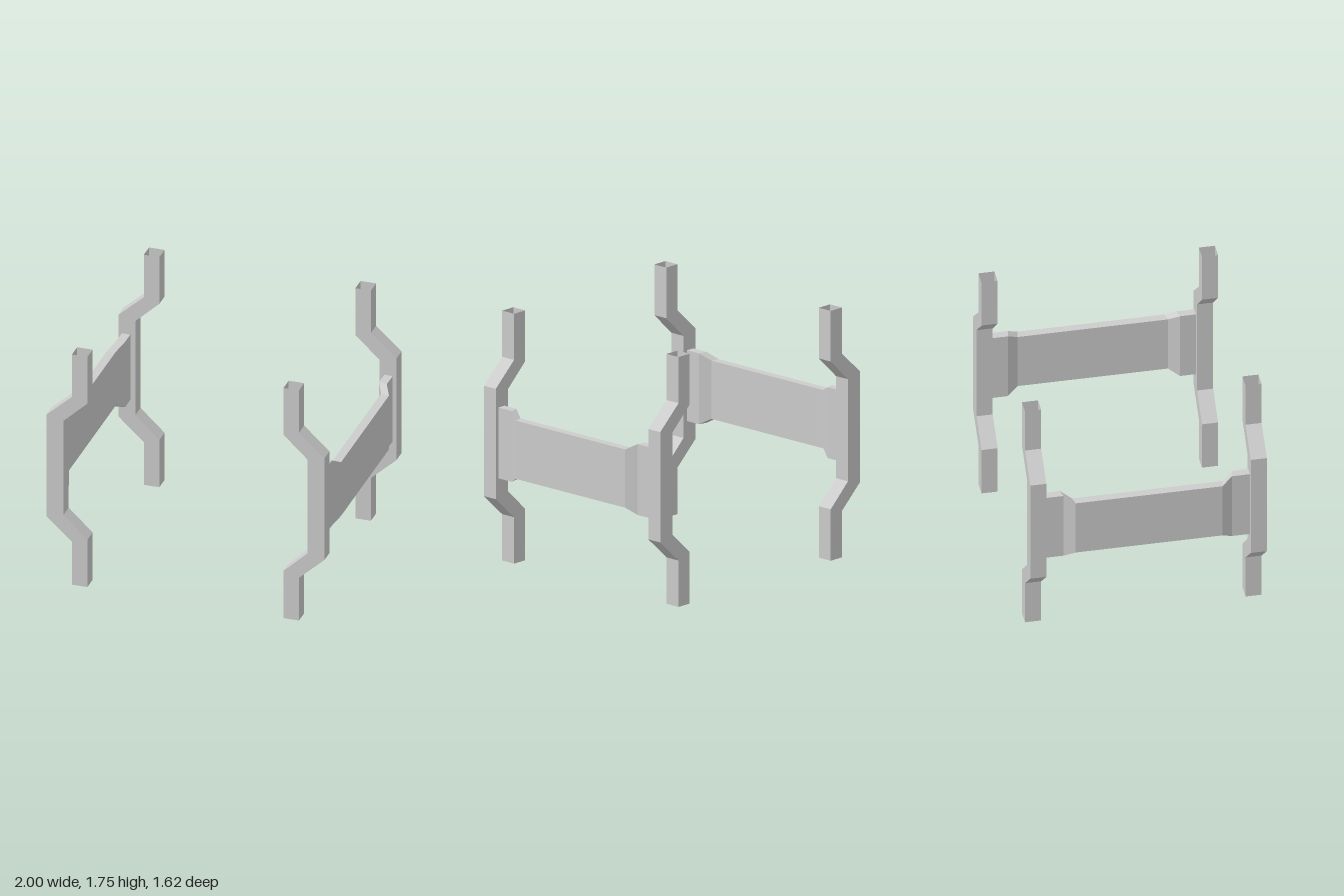
import * as THREE from 'three';

const material = new THREE.MeshStandardMaterial({
  color: 0xcccccc, flatShading: true, side: THREE.DoubleSide,
});

// Open four-sided tube through a list of rings, each ring four [x, y, z] corners
function loft(rings) {
  const points = [];
  for (let i = 0; i < rings.length - 1; i++) {
    for (let j = 0; j < 4; j++) {
      const k = (j + 1) % 4;
      const a = rings[i][j], b = rings[i][k], c = rings[i + 1][k], d = rings[i + 1][j];
      points.push(...a, ...b, ...c, ...a, ...c, ...d);
    }
  }
  const geometry = new THREE.BufferGeometry();
  geometry.setAttribute('position', new THREE.Float32BufferAttribute(points, 3));
  geometry.computeVertexNormals();
  return geometry;
}

// Cranked post: hollow, open at both ends; rows are [outer x, outer y, inner x, inner y]
function postGeometry() {
  const h = 0.055;
  const profile = [
    [0.805, 0, 0.695, 0],
    [0.805, 0.325, 0.695, 0.36],
    [0.985, 0.49, 0.865, 0.52],
    [0.985, 1.263, 0.865, 1.235],
    [0.805, 1.427, 0.695, 1.395],
    [0.805, 1.75, 0.695, 1.75],
  ];
  return loft(profile.map(([xo, yo, xi, yi]) =>
    [[xo, yo, h], [xo, yo, -h], [xi, yi, -h], [xi, yi, h]]));
}

// Side panel: steps outward and narrows between its ends;
// rows are [outer x, outer z, inner x, inner z, half height]
function panelGeometry() {
  const midY = 0.879;
  const half = [
    [0.96, 0.70, 0.90, 0.70, 0.248],
    [0.96, 0.577, 0.90, 0.59, 0.248],
    [1.0, 0.502, 0.94, 0.515, 0.204],
  ];
  const back = half.map(([xo, zo, xi, zi, r]) => [xo, -zo, xi, -zi, r]);
  return loft([...back, ...half.reverse()].map(([xo, zo, xi, zi, r]) =>
    [[xo, midY - r, zo], [xo, midY + r, zo], [xi, midY + r, zi], [xi, midY - r, zi]]));
}

export function createModel() {
  const model = new THREE.Group();
  model.name = 'sideFrames';
  const post = postGeometry();
  const panel = panelGeometry();

  // The right frame is the left one turned half way round
  for (const [side, angle] of [['left', 0], ['right', Math.PI]]) {
    const frame = new THREE.Group();
    frame.name = side + 'Frame';
    frame.rotation.y = angle;

    for (const z of [0.755, -0.755]) {
      const mesh = new THREE.Mesh(post, material);
      const isFront = (z > 0) === (side === 'left');
      mesh.name = side + (isFront ? 'FrontPost' : 'BackPost');
      mesh.position.z = z;
      frame.add(mesh);
    }

    const sidePanel = new THREE.Mesh(panel, material);
    sidePanel.name = side + 'Panel';
    frame.add(sidePanel);
    model.add(frame);
  }
  return model;
}
